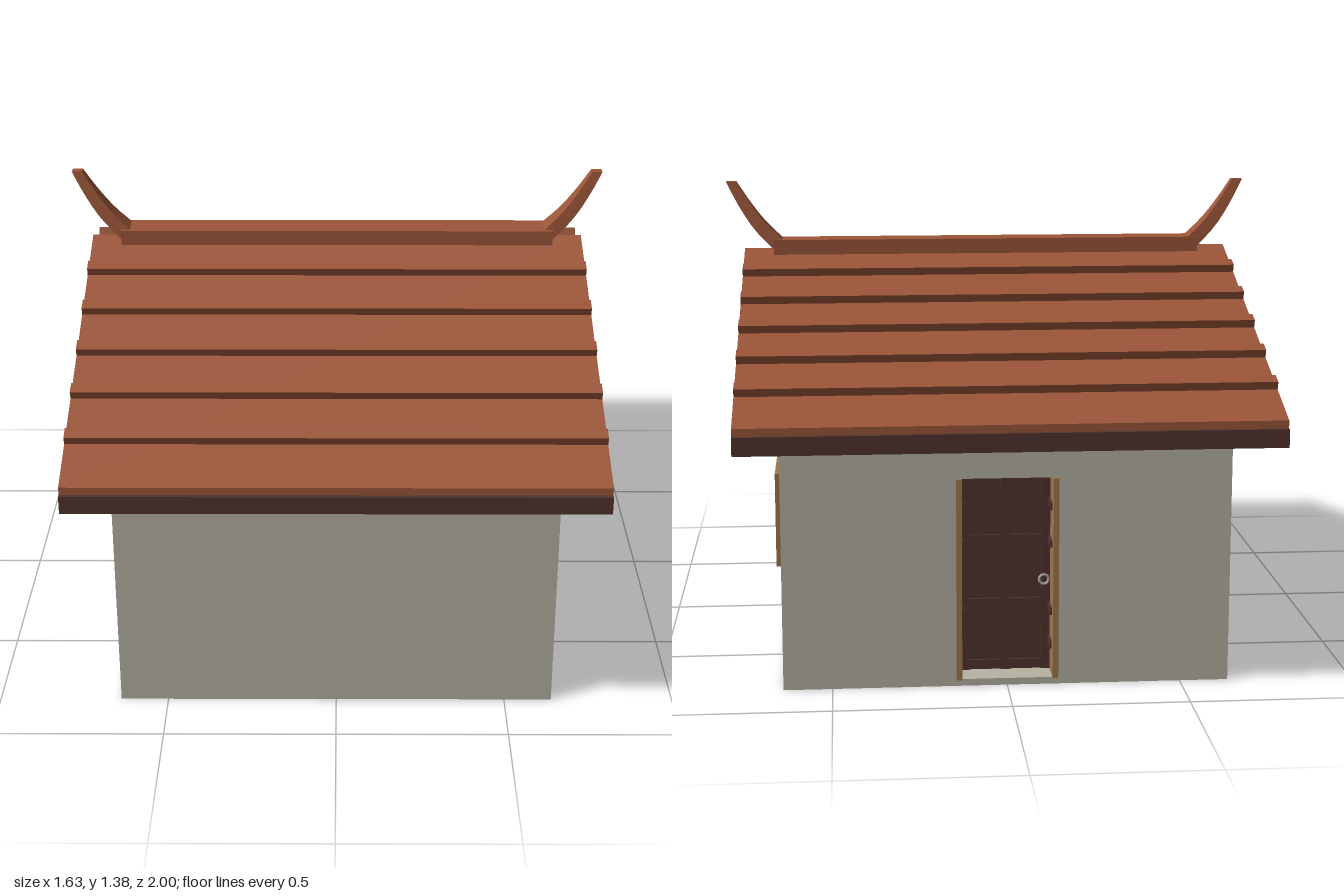
import * as THREE from 'three';

const mat = (name, color) => {
  const m = new THREE.MeshStandardMaterial({ color });
  m.name = name;
  return m;
};

export function createModel() {
  const house = new THREE.Group();
  house.name = 'house';
  const plaster = mat('plaster', 0xb6b3a4);
  const tile = mat('terracotta', 0x9c5639);
  const timber = mat('darkTimber', 0x50342e);
  const wood = mat('shutterWood', 0x9f774c);
  const metal = mat('paleMetal', 0xb0a8a0);

  const add = (parent, name, geo, material) => {
    const m = new THREE.Mesh(geo, material);
    m.name = name;
    parent.add(m);
    return m;
  };
  const box = (parent, name, material, w, h, d, x, y, z) => {
    const m = add(parent, name, new THREE.BoxGeometry(w, h, d), material);
    m.position.set(x, y, z);
    return m;
  };
  // Extrudes a side profile of [-z, y] points from x0 to x1
  const sideExtrude = (pts, x0, x1) => {
    const shape = new THREE.Shape(pts.map(p => new THREE.Vector2(p[0], p[1])));
    const g = new THREE.ExtrudeGeometry(shape, { depth: x1 - x0, bevelEnabled: false });
    g.rotateY(Math.PI / 2);
    g.translate(x0, 0, 0);
    return g;
  };

  const slope = 0.376, pitch = Math.atan(slope);
  const roofTop = z => 1.17 - slope * Math.abs(z);
  const roofUnder = z => 1.138 - slope * Math.abs(z);

  // Gabled walls, the middle third notched for the door recess at the back
  const doorHalf = 0.145, sill = 0.02, head = 0.61, recess = 0.72;
  const eave = roofUnder(0.82);
  const gable = [[-0.82, 0], [0.82, 0], [0.82, eave], [0, 1.138], [-0.82, eave]];
  const notched = [[-0.82, 0], [0.82, 0], [0.82, sill], [recess, sill], [recess, head],
    [0.82, head], [0.82, eave], [0, 1.138], [-0.82, eave]];
  add(house, 'rightWall', sideExtrude(gable, -0.64, -doorHalf), plaster);
  add(house, 'middleWall', sideExtrude(notched, -doorHalf, doorHalf), plaster);
  add(house, 'leftWall', sideExtrude(gable, doorHalf, 0.64), plaster);

  // Roof slabs
  const e = 0.987;
  add(house, 'roof', sideExtrude([[-e, roofUnder(e)], [0, 1.138], [e, roofUnder(e)],
    [e, roofTop(e)], [0, 1.17], [-e, roofTop(e)]], -0.76, 0.76), tile);

  for (const s of [-1, 1]) {
    // Raised tile courses
    for (const z of [0.16, 0.324, 0.488, 0.652, 0.818]) {
      const course = box(house, 'tileCourse', tile, 1.52, 0.034, 0.04, 0, roofTop(z) + 0.007, s * z);
      course.rotation.x = s * pitch * 0.9;
    }
    // Purlins under the overhang
    for (const z of [0.15, 0.34, 0.533, 0.72])
      box(house, 'purlin', timber, 1.48, 0.055, 0.028, 0, roofUnder(z) - 0.022, s * z);
    box(house, 'fasciaBoard', timber, 1.52, 0.052, 0.015, 0, 0.751, s * 0.9925);
  }

  // Ridge cap
  box(house, 'ridgeCap', tile, 1.335, 0.046, 0.1, 0, 1.177, 0);

  // Curved, tapering ridge horns
  const path = pts => new THREE.CatmullRomCurve3(pts.map(p => new THREE.Vector3(p[0], p[1], 0)));
  const inner = path([[0.637, 1.195], [0.692, 1.25], [0.74, 1.313], [0.783, 1.38]]);
  const outer = path([[0.665, 1.165], [0.73, 1.235], [0.778, 1.31], [0.814, 1.38]]);
  for (const s of [-1, 1]) {
    const g = new THREE.BoxGeometry(1, 1, 1, 1, 8, 1).toNonIndexed();
    const pos = g.attributes.position;
    for (let i = 0; i < pos.count; i++) {
      const t = pos.getY(i) + 0.5;
      // outer side of the horn always faces away from the centre
      const p = (pos.getX(i) * s > 0 ? outer : inner).getPoint(t);
      pos.setXYZ(i, p.x * s, p.y, pos.getZ(i) * (0.08 - 0.05 * t));
    }
    g.computeVertexNormals();
    add(house, 'ridgeHorn', g, tile);
  }

  // Louvred shutter window, facing +x
  const makeWindow = () => {
    const w = new THREE.Group();
    w.name = 'shutterWindow';
    box(w, 'windowBacking', wood, 0.008, 0.28, 0.35, 0.002, 0, 0);
    for (const s of [-1, 1]) {
      box(w, 'windowRail', wood, 0.022, 0.014, 0.35, 0.011, s * 0.133, 0);
      box(w, 'windowStile', wood, 0.022, 0.252, 0.014, 0.011, 0, s * 0.168);
      box(w, 'shutterStile', wood, 0.017, 0.252, 0.011, 0.0085, 0, s * 0.0065);
      for (let i = 0; i < 6; i++) {
        const slat = box(w, 'louvre', wood, 0.006, 0.036, 0.148, 0.009, -0.105 + i * 0.042, s * 0.086);
        slat.rotation.z = 0.3;
      }
    }
    return w;
  };
  for (const s of [-1, 1])
    for (const z of [-0.38, 0.38]) {
      const w = makeWindow();
      w.position.set(s * 0.64, 0.43, z);
      if (s < 0) w.rotation.y = Math.PI;
      house.add(w);
    }

  // Panelled back door in its recess
  const door = new THREE.Group();
  door.name = 'backDoor';
  house.add(door);
  const midY = (sill + head) / 2, doorH = head - sill;
  box(door, 'doorLeaf', timber, 0.27, doorH, 0.012, 0, midY, -0.726);
  for (const x of [-0.118, 0, 0.118])
    box(door, 'doorStile', timber, 0.026, doorH, 0.01, x, midY, -0.736);
  for (const y of [0.035, 0.22, 0.41, 0.595])
    box(door, 'doorRail', timber, 0.262, 0.028, 0.009, 0, y, -0.7355);
  for (const s of [-1, 1]) {
    box(door, 'doorJamb', wood, 0.016, doorH, 0.112, s * 0.138, midY, -0.776);
    for (const y of [0.11, 0.21, 0.41, 0.52])
      box(door, 'hinge', timber, 0.008, 0.022, 0.06, s * 0.128, y, -0.77);
  }
  const handle = add(door, 'doorHandle', new THREE.TorusGeometry(0.014, 0.004, 6, 12), metal);
  handle.position.set(-0.112, 0.29, -0.744);

  return house;
}
